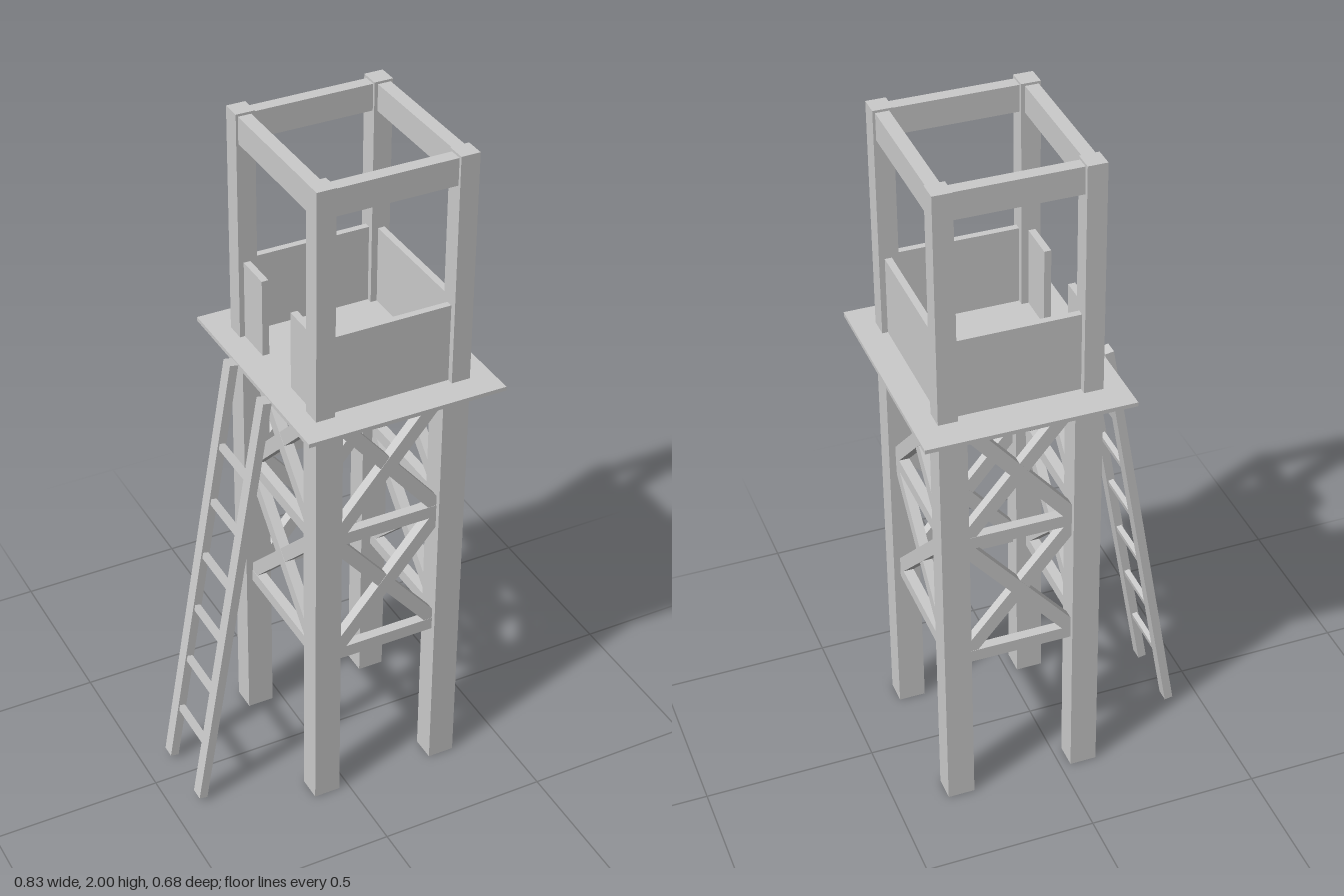
import * as THREE from 'three';

const material = new THREE.MeshStandardMaterial({ color: 0xcccccc, flatShading: true });

// Box given by its lower and upper limits on each axis
function block(parent, name, [x0, x1], [y0, y1], [z0, z1]) {
  const mesh = new THREE.Mesh(new THREE.BoxGeometry(x1 - x0, y1 - y0, z1 - z0), material);
  mesh.position.set((x0 + x1) / 2, (y0 + y1) / 2, (z0 + z1) / 2);
  mesh.name = name;
  parent.add(mesh);
  return mesh;
}

// One side of the braced frame, built in the xy plane and centred on x = 0
function bracedSide(span) {
  const side = new THREE.Group();
  const thick = [-0.015, 0.015];
  for (const y of [0.502, 0.902]) {
    block(side, 'crossBar', [-span / 2, span / 2], [y - 0.019, y + 0.019], thick);
  }
  for (const [y0, y1] of [[0.51, 0.89], [0.91, 1.29]]) {
    const rise = y1 - y0, length = Math.hypot(span, rise);
    for (const s of [-1, 1]) {
      const brace = block(side, 'diagonalBrace', [-length / 2, length / 2], [-0.02, 0.02],
        s > 0 ? thick : [-0.014, 0.014]);
      brace.position.y = (y0 + y1) / 2;
      brace.rotation.z = s * Math.atan2(rise, span);
    }
  }
  return side;
}

export function createModel() {
  const tower = new THREE.Group();
  tower.name = 'watchtower';
  const cx = 0.12, cz = 0.004;

  // Legs below the deck and thinner posts above it
  for (const sx of [-1, 1]) for (const sz of [-1, 1]) {
    const span = (c, s, a, b) => [c + s * a, c + s * b].sort((p, q) => p - q);
    block(tower, 'leg', span(cx, sx, 0.15, 0.229), [0, 1.29], span(cz, sz, 0.185, 0.258));
    block(tower, 'post', span(cx, sx, 0.174, 0.229), [1.32, 2], span(cz, sz, 0.199, 0.257));
  }

  // Bracing on all four sides
  for (const s of [-1, 1]) {
    const face = bracedSide(0.32);
    face.name = s > 0 ? 'frontBracing' : 'backBracing';
    face.position.set(cx, 0, cz + s * 0.228);
    const flank = bracedSide(0.39);
    flank.name = s > 0 ? 'leftBracing' : 'rightBracing';
    flank.rotation.y = Math.PI / 2;
    flank.position.set(cx + s * 0.195, 0, cz);
    tower.add(face, flank);
  }

  // Deck
  block(tower, 'deckFrame', [-0.135, 0.375], [1.278, 1.315], [-0.295, 0.295]);
  block(tower, 'deck', [-0.17, 0.415], [1.313, 1.325], [-0.342, 0.34]);

  // Top beams
  const beamY = [1.915, 1.993], alongX = [-0.065, 0.3], alongZ = [-0.2, 0.21];
  block(tower, 'backBeam', alongX, beamY, [-0.24, -0.203]);
  block(tower, 'frontBeam', alongX, beamY, [0.214, 0.252]);
  block(tower, 'rightBeam', [-0.103, -0.065], beamY, alongZ);
  block(tower, 'leftBeam', [0.304, 0.342], beamY, alongZ);

  // Parapet, open in the middle on the ladder side
  const wallY = [1.32, 1.557];
  block(tower, 'backParapet', alongX, wallY, [-0.232, -0.212]);
  block(tower, 'frontParapet', alongX, wallY, [0.222, 0.242]);
  block(tower, 'leftParapet', [0.313, 0.333], wallY, alongZ);
  block(tower, 'rightParapetBack', [-0.094, -0.074], wallY, [-0.2, -0.085]);
  block(tower, 'rightParapetFront', [-0.094, -0.074], wallY, [0.085, 0.21]);

  // Leaning ladder
  const ladder = new THREE.Group();
  ladder.name = 'ladder';
  const run = 0.221, rise = 1.315, length = Math.hypot(run, rise);
  for (const z of [-0.09, 0.113]) {
    block(ladder, 'ladderRail', [-0.0125, 0.0125], [0, length], [z - 0.02, z + 0.02]);
  }
  for (let i = 0; i < 6; i++) {
    const y = 0.179 + i * 0.18;
    block(ladder, 'rung', [-0.008, 0.008], [y - 0.009, y + 0.009], [-0.075, 0.098]);
  }
  ladder.position.set(-0.407, 0.014, 0);
  ladder.rotation.z = -Math.atan2(run, rise);
  tower.add(ladder);

  return tower;
}
